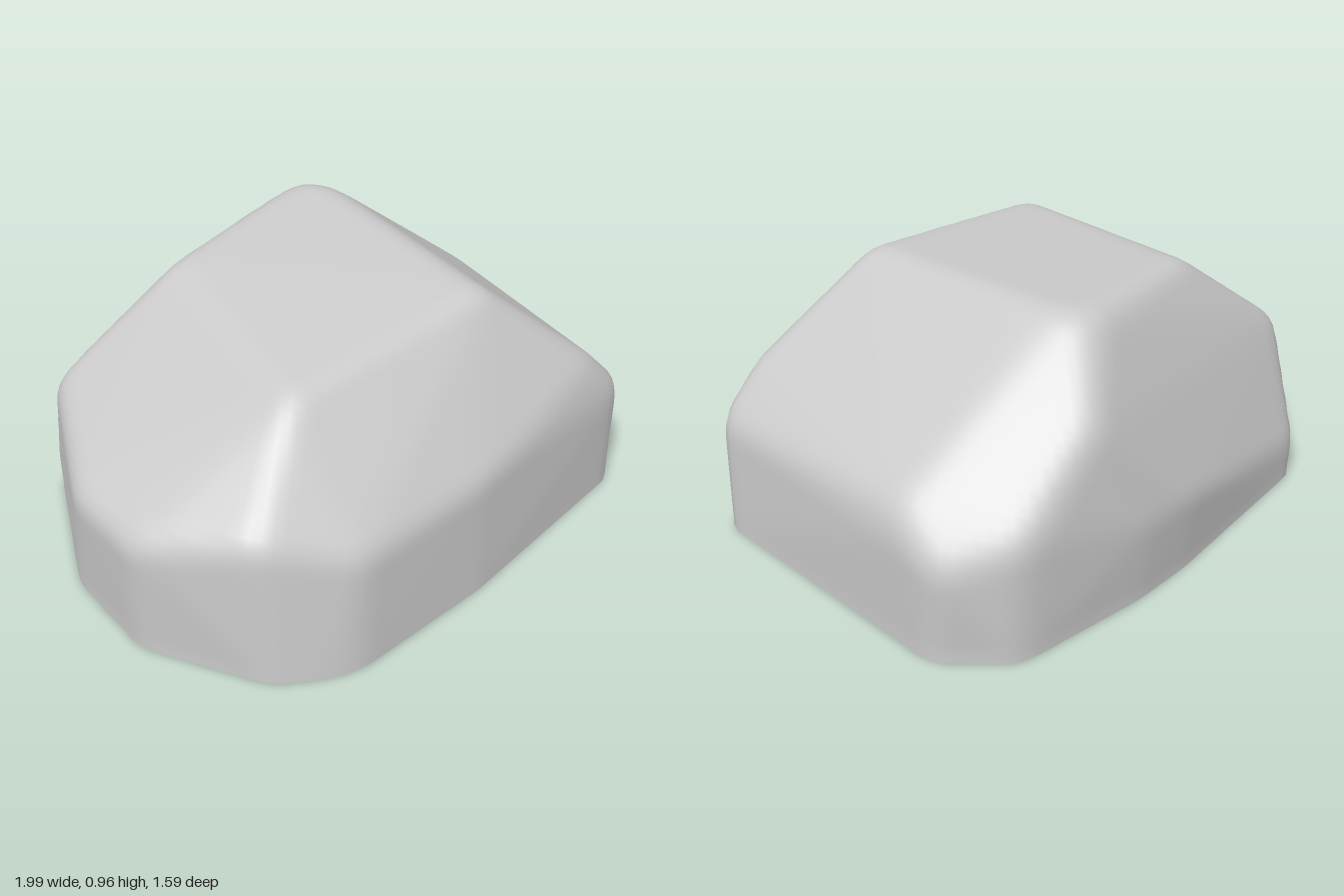
import * as THREE from 'three';
import { mergeVertices } from 'three/addons/utils/BufferGeometryUtils.js';
import { ConvexGeometry } from 'three/addons/geometries/ConvexGeometry.js';

const V = (x, y, z) => new THREE.Vector3(x, y, z);

// Corners of the chiselled boulder, level by level
const corners = [
  // ground outline
  V(-0.97, 0, 0.27), V(-0.74, 0, 0.67), V(-0.6, 0, 0.755), V(-0.47, 0, 0.795), V(0.08, 0, 0.745),
  V(0.92, 0, 0.57), V(0.98, 0, -0.5), V(0.8, 0, -0.71), V(0.3, 0, -0.765), V(0.05, 0, -0.76),
  V(-0.71, 0, -0.67), V(-0.96, 0, -0.13),
  // shoulder where the walls turn inwards
  V(-1, 0.45, 0.3), V(-0.77, 0.54, 0.64), V(-0.46, 0.43, 0.785), V(0.08, 0.45, 0.74),
  V(0.91, 0.42, 0.585), V(0.76, 0.58, 0.575), V(0.97, 0.5, -0.38), V(1, 0.4, -0.4), V(1, 0.34, -0.55),
  V(0.8, 0.43, -0.73), V(0.5, 0.71, -0.735), V(0.3, 0.3, -0.8), V(0.08, 0.3, -0.8),
  V(-0.71, 0.14, -0.68), V(-0.77, 0.56, -0.52), V(-1, 0.45, -0.03),
  // top plateau
  V(-0.46, 0.855, 0.43), V(0.36, 0.93, 0.4), V(0.42, 0.94, -0.4), V(0.37, 0.97, -0.51),
  V(0.29, 0.96, -0.57), V(-0.31, 0.91, -0.43),
];

// Planes of the facets above the ground
function facetPlanes() {
  const p = new ConvexGeometry(corners).getAttribute('position');
  const planes = [];
  for (let i = 0; i < p.count; i += 3) {
    const [a, b, c] = [0, 1, 2].map((k) => new THREE.Vector3().fromBufferAttribute(p, i + k));
    const plane = new THREE.Plane().setFromCoplanarPoints(a, b, c);
    if (plane.normal.y > -0.9) planes.push(plane);
  }
  return planes;
}

export function createModel() {
  const planes = facetPlanes();
  // distance from the centre of the ground outline to the facets
  const reach = (d) => {
    let r = Infinity;
    for (const { normal, constant } of planes) {
      const k = normal.dot(d);
      if (k > 1e-6) r = Math.min(r, -constant / k);
    }
    return r;
  };
  // averaging nearby directions wears the edges slightly round
  const softPoint = (d) => {
    const u = V(0, 1, 0).cross(d);
    if (u.lengthSq() < 1e-6) u.set(1, 0, 0);
    u.normalize();
    const w = d.clone().cross(u);
    const hit = (q) => q.clone().multiplyScalar(reach(q));
    const sum = hit(d);
    const n = 8;
    for (let i = 0; i < n; i++) {
      const a = (i / n) * Math.PI * 2;
      const q = d.clone().addScaledVector(u, 0.045 * Math.cos(a)).addScaledVector(w, 0.045 * Math.sin(a));
      q.y = Math.abs(q.y);
      sum.add(hit(q.normalize()));
    }
    return d.clone().multiplyScalar(sum.length() / (n + 1));
  };

  // Dome of directions pushed out onto the facets
  const segments = 160;
  let dome = new THREE.SphereGeometry(1, segments, 48, 0, Math.PI * 2, 0, Math.PI / 2);
  dome.deleteAttribute('uv');
  dome.deleteAttribute('normal');
  dome = mergeVertices(dome, 1e-5);
  const pos = dome.getAttribute('position');
  for (let i = 0; i < pos.count; i++) {
    const d = new THREE.Vector3().fromBufferAttribute(pos, i).normalize();
    d.y = Math.max(0, d.y);
    const q = softPoint(d);
    pos.setXYZ(i, q.x, q.y < 1e-5 ? 0 : q.y, q.z);
  }
  dome.computeVertexNormals();

  // Flat underside following the same outline
  const outline = [];
  for (let i = 0; i < segments; i++) {
    const a = (i / segments) * Math.PI * 2;
    const q = softPoint(V(-Math.cos(a), 0, Math.sin(a)));
    outline.push(new THREE.Vector2(q.x, q.z));
  }
  const base = new THREE.ShapeGeometry(new THREE.Shape(outline)).rotateX(Math.PI / 2);

  const stone = new THREE.MeshStandardMaterial({ color: 0xcccccc });
  const group = new THREE.Group();
  group.name = 'boulder';
  for (const [name, geometry] of [['rockBody', dome], ['underside', base]]) {
    const mesh = new THREE.Mesh(geometry, stone);
    mesh.name = name;
    group.add(mesh);
  }
  return group;
}
